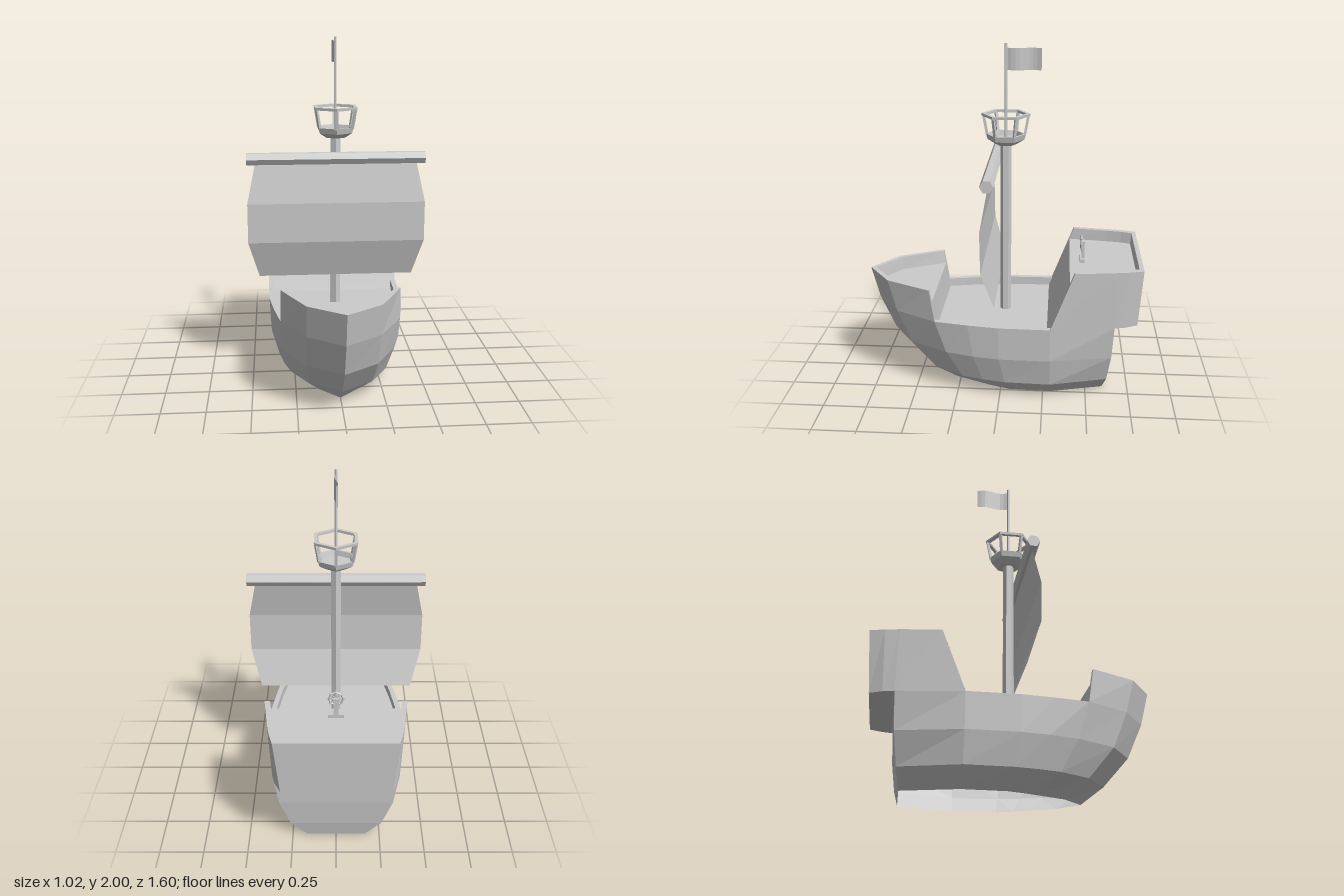
import * as THREE from 'three';

const mat = new THREE.MeshStandardMaterial({ color: 0xcccccc, flatShading: true });
const thin = new THREE.MeshStandardMaterial({ color: 0xcccccc, flatShading: true, side: THREE.DoubleSide });

// Joins rows of [x, y, z] points into a faceted surface
function loft(rows, closed = false) {
  const pos = [];
  for (let r = 0; r < rows.length - 1; r++) {
    const a = rows[r], b = rows[r + 1], n = a.length;
    for (let i = 0; i < (closed ? n : n - 1); i++) {
      const j = (i + 1) % n;
      pos.push(...a[i], ...b[i], ...a[j], ...a[j], ...b[i], ...b[j]);
    }
  }
  const g = new THREE.BufferGeometry();
  g.setAttribute('position', new THREE.Float32BufferAttribute(pos, 3));
  g.computeVertexNormals();
  return g;
}

const level = (y, pts) => pts.map(([x, z]) => [x, y, z]);
const across = (row) => row.map(([x, y, z]) => [-x, y, z]);
const flip = (row) => across(row).reverse();
const bowRow = (half) => [...half, ...flip(half).slice(1)];
const sternRow = (half) => [...flip(half), ...half];

export function createModel() {
  const ship = new THREE.Group();
  ship.name = 'sailingShip';
  const add = (name, geometry, material = mat, parent = ship) => {
    const m = new THREE.Mesh(geometry, material);
    m.name = name;
    parent.add(m);
    return m;
  };
  const surface = (name, rows, closed) => add(name, loft(rows, closed), thin);

  // Hull: half outlines from stern corner to stem, open underneath
  const hull = [
    level(0, [[0.17, -0.6], [0.25, -0.29], [0.24, -0.05], [0.21, 0.04], [0.18, 0.11], [0.11, 0.27], [0, 0.38]]),
    level(0.1, [[0.26, -0.62], [0.35, -0.29], [0.34, -0.03], [0.315, 0.1], [0.28, 0.22], [0.18, 0.39], [0, 0.51]]),
    level(0.27, [[0.32, -0.64], [0.39, -0.29], [0.385, 0], [0.36, 0.15], [0.315, 0.31], [0.195, 0.53], [0, 0.66]]),
    level(0.47, [[0.35, -0.65], [0.4, -0.29], [0.395, 0], [0.37, 0.18], [0.335, 0.37], [0.2, 0.61], [0, 0.75]]),
  ];
  surface('hull', hull.map(bowRow), true);

  // Main deck with its low bulwarks
  const railTop = hull[3].slice(1, 5);
  const railIn = railTop.map(([x, y, z]) => [x - 0.03, y, z]);
  const deckEdge = level(0.42, [[0.37, -0.27], [0.365, 0], [0.34, 0.18], [0.305, 0.362]]);
  surface('leftBulwark', [railTop, railIn, deckEdge]);
  surface('rightBulwark', [flip(railTop), flip(railIn), flip(deckEdge)]);
  surface('mainDeck', [deckEdge, across(deckEdge)]);

  // Forecastle
  const foreDeck = level(0.58, [[0.3, 0.387], [0.18, 0.635], [0, 0.76]]);
  const foreTop = level(0.66, [[0.33, 0.4], [0.2, 0.66], [0, 0.8]]);
  const foreIn = level(0.66, [[0.3, 0.4], [0.18, 0.64], [0, 0.768]]);
  surface('forecastleRail', [hull[3].slice(4), foreTop, foreIn, foreDeck].map(bowRow));
  surface('forecastleDeck', [foreDeck, across(foreDeck)]);

  // Stern castle, overhanging the transom
  const aftFoot = level(0.47, [[0.3, -0.78], [0.335, -0.71], [0.35, -0.65], [0.4, -0.29]]);
  const aftTop = level(0.81, [[0.33, -0.8], [0.352, -0.72], [0.366, -0.64], [0.395, -0.42]]);
  const aftIn = level(0.81, [[0.298, -0.775], [0.32, -0.71], [0.335, -0.63], [0.365, -0.42]]);
  const aftDeck = level(0.74, [[0.298, -0.77], [0.32, -0.71], [0.335, -0.63], [0.366, -0.393]]);
  surface('sternCastleRail', [aftFoot, aftTop, aftIn, aftDeck].map(sternRow));
  surface('sternCastleDeck', [aftDeck, across(aftDeck)]);
  surface('sternOverhang', [across(aftFoot.slice(0, 3)), aftFoot.slice(0, 3)]);

  // Sloping bulkheads and rail ends facing the main deck
  const pair = (x, y, z) => [[x, y, z], [-x, y, z]];
  surface('sternBulkhead', [pair(0.37, 0.42, -0.27), pair(0.37, 0.47, -0.29), pair(0.366, 0.74, -0.393)]);
  surface('bowBulkhead', [pair(0.305, 0.42, 0.362), pair(0.305, 0.47, 0.37), pair(0.3, 0.58, 0.387)].map((r) => r.reverse()));
  for (const s of [1, -1]) {
    const end = (...rows) => rows.map((r) => {
      const row = r.map(([x, y, z]) => [s * x, y, z]);
      return s > 0 ? row : row.reverse();
    });
    surface('sternRailEnd', end(
      [[0.4, 0.47, -0.29], [0.37, 0.47, -0.29]],
      [[0.396, 0.74, -0.393], [0.366, 0.74, -0.393]],
      [[0.395, 0.81, -0.42], [0.365, 0.81, -0.42]]));
    surface('bowRailEnd', end(
      [[0.305, 0.47, 0.37], [0.335, 0.47, 0.37]],
      [[0.3, 0.58, 0.387], [0.332, 0.58, 0.387]],
      [[0.3, 0.66, 0.4], [0.33, 0.66, 0.4]]));
  }

  // Mast, flagpole and flag
  const mastZ = -0.015;
  add('mast', new THREE.CylinderGeometry(0.032, 0.032, 1.03, 6)).position.set(0, 0.935, mastZ);
  add('flagpole', new THREE.CylinderGeometry(0.008, 0.008, 0.55, 6)).position.set(0, 1.725, mastZ);
  const wave = (y) => Array.from({ length: 9 }, (_, i) =>
    [0.01 * Math.sin((i / 8) * Math.PI * 2), y, mastZ - 0.005 - 0.024 * i]);
  surface('flag', [wave(1.853), wave(1.975)]);

  // Crow's nest: cup, posts and top ring
  const nest = new THREE.Group();
  nest.name = 'crowsNest';
  nest.position.z = mastZ;
  ship.add(nest);
  const lathe = (pts) => new THREE.LatheGeometry(pts.map(([x, y]) => new THREE.Vector2(x, y)), 6);
  add('nestCup', lathe([[0, 1.435], [0.06, 1.435], [0.105, 1.463], [0.115, 1.495], [0.1, 1.495], [0.092, 1.465], [0, 1.465]]), thin, nest);
  add('nestRing', lathe([[0.116, 1.597], [0.137, 1.597], [0.139, 1.612], [0.116, 1.612], [0.116, 1.597]]), thin, nest);
  for (let i = 0; i < 6; i++) {
    const arm = new THREE.Group();
    arm.rotation.y = (i * Math.PI) / 3;
    nest.add(arm);
    const post = add('nestPost', new THREE.BoxGeometry(0.016, 0.115, 0.014), mat, arm);
    post.position.set(0, 1.545, 0.117);
    post.rotation.x = 0.18;
  }

  // Yard and sail
  const yard = add('yard', new THREE.CylinderGeometry(0.037, 0.037, 1.02, 6));
  yard.rotation.z = Math.PI / 2;
  yard.position.set(0, 1.325, 0.053);
  surface('sail', [pair(0.45, 0.62, 0.02), pair(0.51, 0.84, 0.088), pair(0.51, 1.07, 0.092), pair(0.46, 1.31, 0.05)]);

  // Steering wheel on the stern castle
  const helm = new THREE.Group();
  helm.name = 'helm';
  helm.position.set(0, 0.74, -0.465);
  ship.add(helm);
  add('helmBase', new THREE.BoxGeometry(0.09, 0.02, 0.03), mat, helm).position.y = 0.01;
  add('helmPost', new THREE.BoxGeometry(0.03, 0.1, 0.016), mat, helm).position.set(0, 0.07, -0.006);
  add('helmWheel', new THREE.TorusGeometry(0.04, 0.006, 4, 8), mat, helm).position.set(0, 0.113, 0.007);
  for (let i = 0; i < 4; i++) {
    const spoke = add('helmSpoke', new THREE.BoxGeometry(0.1, 0.006, 0.005), mat, helm);
    spoke.position.set(0, 0.113, 0.007);
    spoke.rotation.z = (i * Math.PI) / 4;
  }

  return ship;
}
